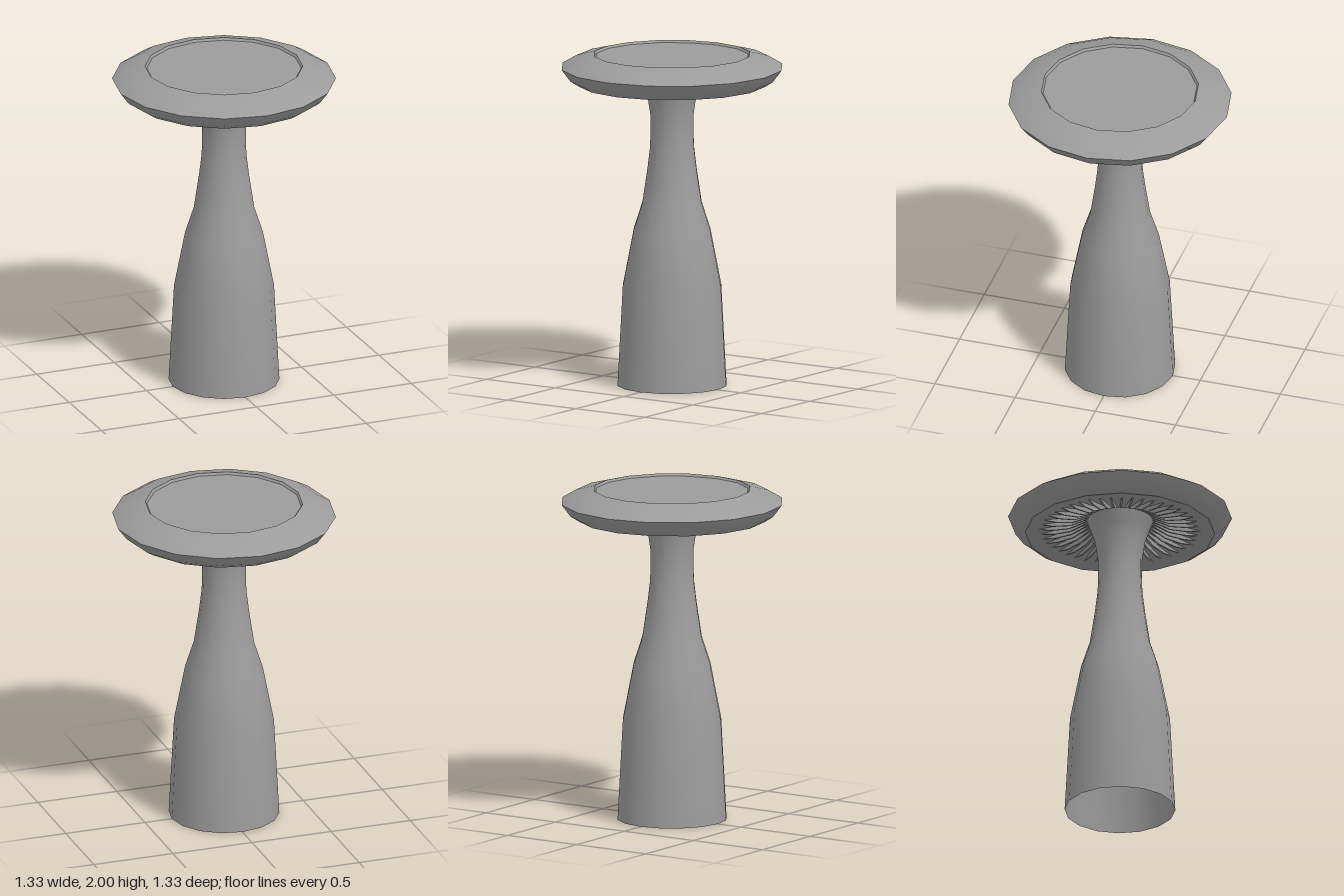
import * as THREE from 'three';

const SIDES = 16;
const GILLS = 44;

export function createModel() {
  const model = new THREE.Group();
  const grey = new THREE.MeshStandardMaterial({ color: 0x9c9c9c, side: THREE.DoubleSide });

  // Turned surface from [radius, height] pairs; smooth within one profile
  const lathe = (name, profile, parent) => {
    const points = profile.map(([r, y]) => new THREE.Vector2(r, y));
    const mesh = new THREE.Mesh(new THREE.LatheGeometry(points, SIDES), grey);
    mesh.name = name;
    parent.add(mesh);
  };

  // Hollow bottle-shaped stem, open at the foot, flaring under the cap
  lathe('stem', [
    [0.33, 0], [0.298, 0.6], [0.232, 0.94], [0.18, 1.1], [0.15, 1.3], [0.134, 1.43],
    [0.13, 1.52], [0.13, 1.63], [0.15, 1.76], [0.17, 1.82], [0.2, 1.9],
  ], model);

  // Cap, split into bands so the creases between them stay sharp
  const cap = new THREE.Group();
  cap.name = 'cap';
  model.add(cap);
  lathe('capUnderside', [[0.18, 1.902], [0.48, 1.838]], cap);
  lathe('capLip', [[0.48, 1.838], [0.565, 1.82]], cap);
  lathe('capLowerRim', [[0.565, 1.82], [0.615, 1.852], [0.667, 1.922]], cap);
  lathe('capUpperRim', [[0.667, 1.922], [0.585, 1.97], [0.47, 2]], cap);
  lathe('recessWall', [[0.47, 2], [0.46, 1.986]], cap);
  lathe('recessFloor', [[0.46, 1.986], [0, 1.986]], cap);

  // Thin radial gills hanging in the hollow of the underside
  const gills = new THREE.Group();
  gills.name = 'gills';
  model.add(gills);
  const outline = new THREE.Shape([
    new THREE.Vector2(0.18, 1.903), new THREE.Vector2(0.3, 1.845),
    new THREE.Vector2(0.4, 1.832), new THREE.Vector2(0.49, 1.838),
  ]);
  const blade = new THREE.ExtrudeGeometry(outline, { depth: 0.01, bevelEnabled: false });
  blade.translate(0, 0, -0.005);
  for (let i = 0; i < GILLS; i++) {
    const gill = new THREE.Mesh(blade, grey);
    gill.name = 'gill';
    gill.rotation.y = (i / GILLS) * Math.PI * 2;
    gills.add(gill);
  }
  return model;
}
